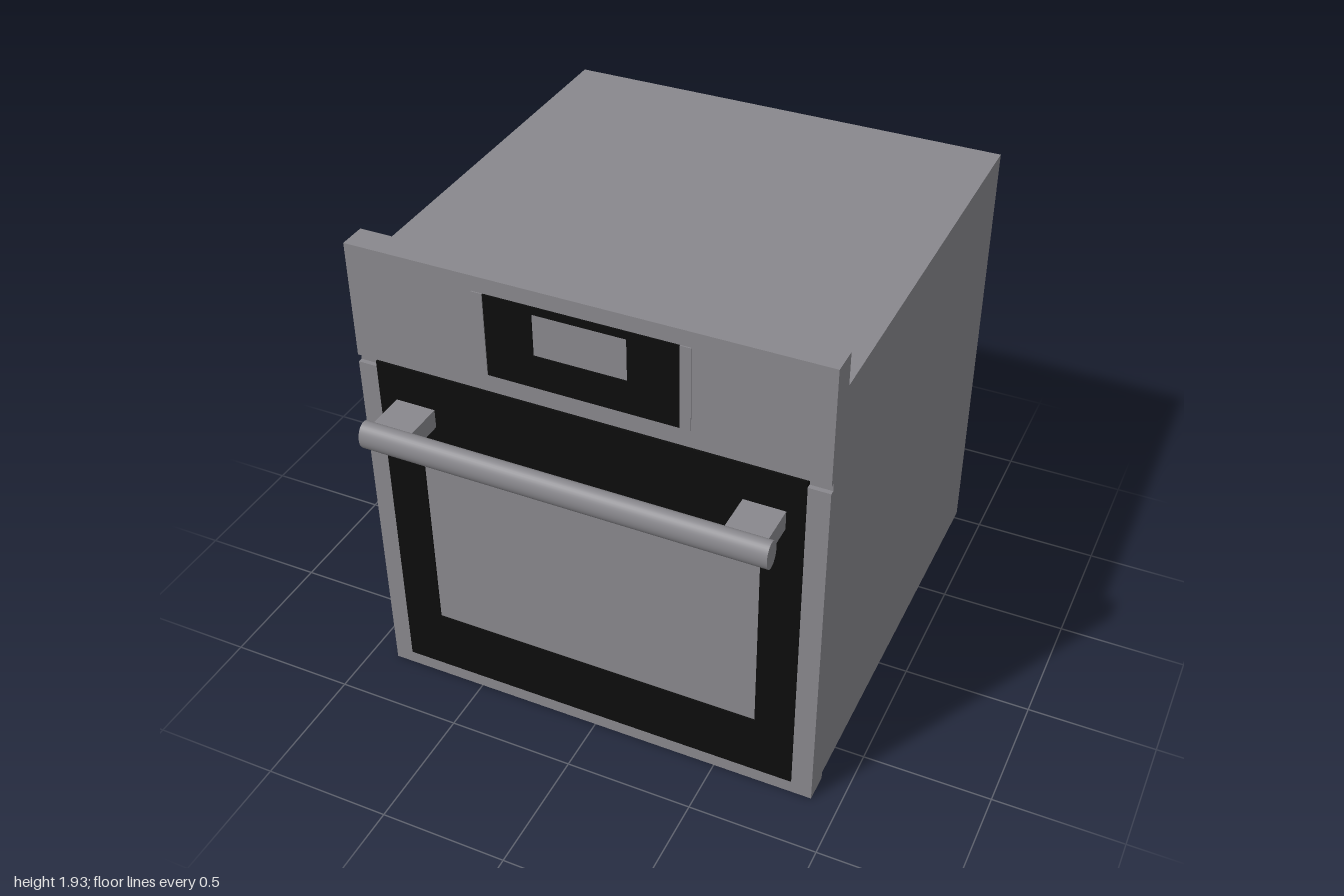
import * as THREE from 'three';

const steel = new THREE.MeshStandardMaterial({ color: 0x89888d });
steel.name = 'steel grey';
const black = new THREE.MeshStandardMaterial({ color: 0x0d0d0d });
black.name = 'black glass';

// Box given by its min and max on each axis
function box(name, material, [x0, x1], [y0, y1], [z0, z1]) {
  const mesh = new THREE.Mesh(new THREE.BoxGeometry(x1 - x0, y1 - y0, z1 - z0), material);
  mesh.position.set((x0 + x1) / 2, (y0 + y1) / 2, (z0 + z1) / 2);
  mesh.name = name;
  return mesh;
}

// Thin rectangular frame with a rectangular opening
function frame(name, [x0, x1], [y0, y1], [hx0, hx1], [hy0, hy1], z, depth) {
  const shape = new THREE.Shape();
  shape.moveTo(x0, y0).lineTo(x1, y0).lineTo(x1, y1).lineTo(x0, y1).closePath();
  const hole = new THREE.Path();
  hole.moveTo(hx0, hy0).lineTo(hx0, hy1).lineTo(hx1, hy1).lineTo(hx1, hy0).closePath();
  shape.holes.push(hole);
  const mesh = new THREE.Mesh(
    new THREE.ExtrudeGeometry(shape, { depth, bevelEnabled: false }), black);
  mesh.position.z = z;
  mesh.name = name;
  return mesh;
}

export function createModel() {
  const oven = new THREE.Group();
  oven.name = 'builtInOven';
  const wide = [-0.893, 0.893];

  // Cabinet and front panels, with a shallow groove between door and controls
  oven.add(
    box('cabinet', steel, wide, [0.03, 1.808], [-1, 0.67]),
    box('door', steel, wide, [0, 1.448], [0.665, 0.775]),
    box('grooveBack', steel, wide, [1.448, 1.478], [0.665, 0.757]),
    box('controlPanel', steel, wide, [1.478, 1.935], [0.67, 0.775]),
  );

  // Door glass around the window, with its top rail set into the groove
  oven.add(
    frame('doorGlass', [-0.815, 0.812], [0.06, 1.476], [-0.66, 0.66], [0.315, 1.135], 0.775, 0.006),
    box('glassTopRail', black, [-0.815, 0.812], [1.449, 1.477], [0.757, 0.778]),
  );

  // Control display around its screen, with slim side strips
  oven.add(frame('controlDisplay', [-0.357, 0.36], [1.55, 1.875], [-0.176, 0.172], [1.68, 1.845], 0.775, 0.005));
  for (const side of [-1, 1]) {
    const xs = [0.36 * side, 0.4 * side].sort((a, b) => a - b);
    oven.add(box('displaySideStrip', steel, xs, [1.55, 1.875], [0.775, 0.779]));
  }

  // Handle: oval bar on two posts
  const handle = new THREE.Group();
  handle.name = 'handle';
  const bar = new THREE.Mesh(new THREE.CylinderGeometry(1, 1, 1.535, 40), steel);
  bar.name = 'handleBar';
  bar.rotation.z = Math.PI / 2;
  bar.scale.set(0.054, 1, 0.041);
  bar.position.set(0, 1.291, 0.959);
  handle.add(bar);
  for (const side of [-1, 1]) {
    const xs = [0.59 * side, 0.745 * side].sort((a, b) => a - b);
    handle.add(box('handlePost', steel, xs, [1.255, 1.33], [0.77, 0.94]));
  }
  oven.add(handle);
  return oven;
}
